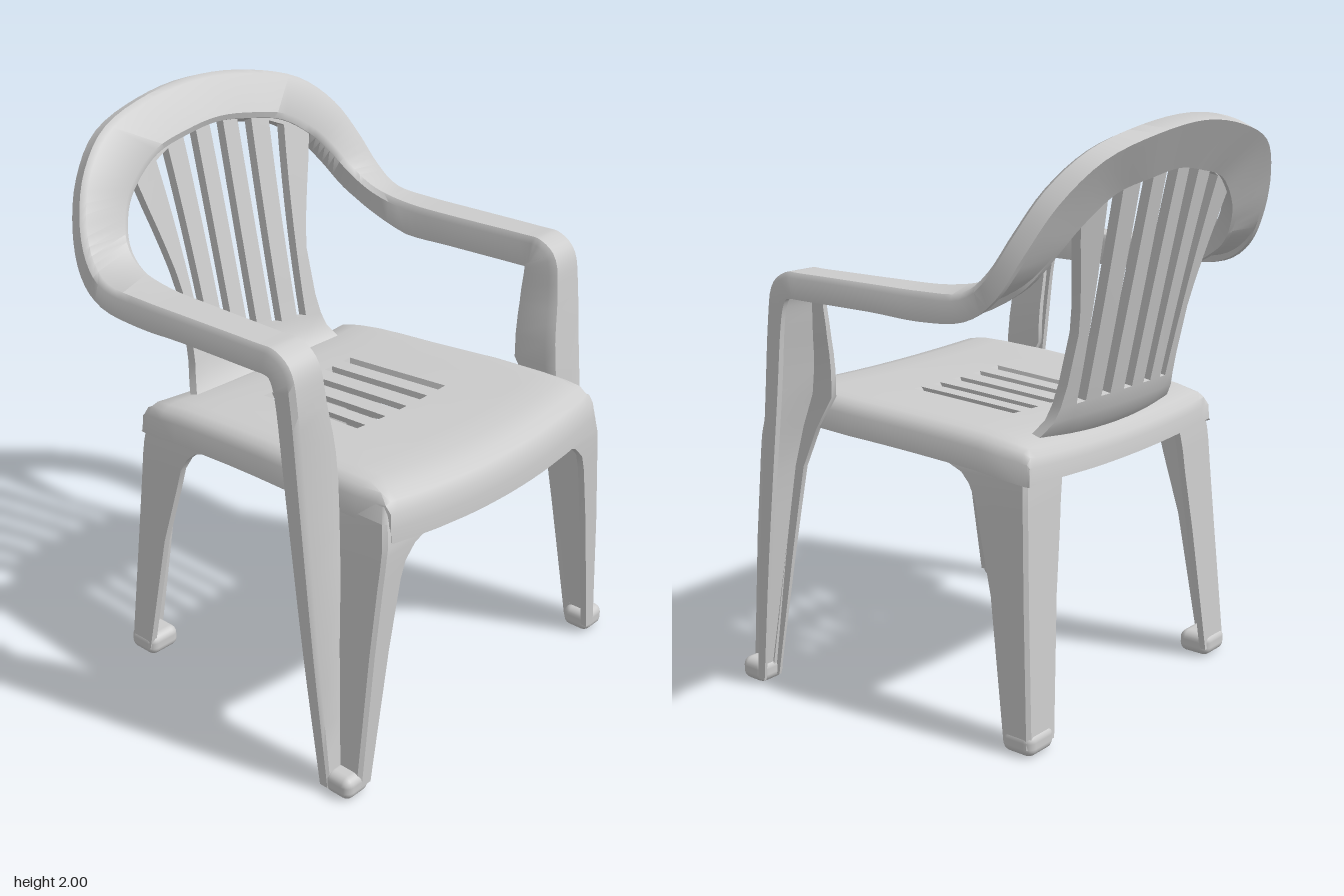
import * as THREE from 'three';
import { toCreasedNormals } from 'three/addons/utils/BufferGeometryUtils.js';
import { RoundedBoxGeometry } from 'three/addons/geometries/RoundedBoxGeometry.js';

const V = (x, y, z) => new THREE.Vector3(x, y, z);
const lerp = THREE.MathUtils.lerp;

// Piecewise-linear lookup in [key, value] pairs with rising keys
function ramp(t, pairs) {
  for (let i = 1; i < pairs.length; i++) {
    const [a, p] = pairs[i - 1], [b, q] = pairs[i];
    if (t <= b) return lerp(p, q, Math.max(0, (t - a) / (b - a)));
  }
  return pairs[pairs.length - 1][1];
}

// Turns a list of four-cornered faces into a softly shaded geometry
function fromQuads(quads) {
  const pos = [];
  for (const [a, b, c, d] of quads) for (const p of [a, b, c, a, c, d]) pos.push(p.x, p.y, p.z);
  const geo = new THREE.BufferGeometry();
  geo.setAttribute('position', new THREE.Float32BufferAttribute(pos, 3));
  geo.computeVertexNormals();
  return toCreasedNormals(geo, 0.75);
}

// Skins a series of closed cross-sections
function loft(rows) {
  const quads = [], n = rows[0].length;
  for (let r = 0; r < rows.length - 1; r++) {
    for (let k = 0; k < n; k++) {
      const m = (k + 1) % n;
      quads.push([rows[r][k], rows[r][m], rows[r + 1][m], rows[r + 1][k]]);
    }
  }
  return fromQuads(quads);
}

// Thick curved sheet on a grid, with open cells walled round as slots
function slab(cols, rows, point, inner, isSlot) {
  const top = [], low = [], quads = [];
  for (let j = 0; j < rows; j++) {
    for (let i = 0; i < cols; i++) {
      const p = point(i, j);
      top.push(p);
      low.push(inner(p));
    }
  }
  const solid = (i, j) => i >= 0 && j >= 0 && i < cols - 1 && j < rows - 1 && !isSlot(i, j);
  for (let j = 0; j < rows - 1; j++) {
    for (let i = 0; i < cols - 1; i++) {
      if (!solid(i, j)) continue;
      const a = j * cols + i, c = [a, a + 1, a + cols + 1, a + cols];
      quads.push(c.map(k => top[k]), [c[3], c[2], c[1], c[0]].map(k => low[k]));
      [[0, -1], [1, 0], [0, 1], [-1, 0]].forEach(([dx, dy], e) => {
        const p = c[e], q = c[(e + 1) % 4];
        if (!solid(i + dx, j + dy)) quads.push([top[p], low[p], low[q], top[q]]);
      });
    }
  }
  return fromQuads(quads);
}

// One band running up the front posts, along the arms and over the crest
function frameGeometry() {
  const half = [ // inner edge, outer edge, flange direction
    [V(.64, .02, .60), V(.72, .02, .60), V(0, 0, -.04)],
    [V(.60, .5, .555), V(.73, .5, .555), V(0, 0, -.055)],
    [V(.55, 1.05, .502), V(.73, 1.05, .502), V(0, 0, -.07)],
    [V(.575, 1.3, .478), V(.73, 1.3, .478), V(0, 0, -.075)],
    [V(.585, 1.43, .455), V(.73, 1.43, .455), V(0, -.04, -.075)],
    [V(.587, 1.485, .39), V(.73, 1.485, .39), V(0, -.08, -.04)],
    [V(.59, 1.49, .30), V(.73, 1.49, .30), V(0, -.085, 0)],
    [V(.58, 1.49, 0), V(.73, 1.49, 0), V(0, -.085, 0)],
    [V(.575, 1.495, -.2), V(.73, 1.49, -.2), V(0, -.09, 0)],
    [V(.565, 1.525, -.35), V(.73, 1.50, -.36), V(0, -.08, -.02)],
    [V(.54, 1.585, -.44), V(.718, 1.57, -.45), V(0, -.075, -.04)],
    [V(.49, 1.67, -.495), V(.68, 1.69, -.515), V(0, -.065, -.05)],
    [V(.42, 1.74, -.525), V(.60, 1.82, -.57), V(0, -.05, -.06)],
    [V(.30, 1.81, -.55), V(.46, 1.925, -.62), V(0, -.035, -.07)],
    [V(.15, 1.84, -.565), V(.24, 1.985, -.65), V(0, -.03, -.077)],
    [V(0, 1.855, -.57), V(0, 2.007, -.66), V(0, -.025, -.08)],
  ];
  const flip = p => V(-p.x, p.y, p.z);
  const keys = [...half, ...half.slice(0, -1).reverse().map(k => k.map(flip))];
  const [inn, out, dir] = [0, 1, 2].map(c =>
    new THREE.CatmullRomCurve3(keys.map(k => k[c]), false, 'catmullrom', 0.5));
  const rows = [];
  for (let i = 0; i <= 120; i++) {
    const t = i / 120, a = inn.getPoint(t), b = out.getPoint(t), d = dir.getPoint(t);
    // The inner flange is deeper above the seat and under the arms
    const e = d.clone().add(V(0,
      ramp(a.z, [[-.4, 0], [-.2, -.025], [.36, -.025], [.46, 0]]),
      ramp(a.y, [[.85, 0], [1.05, -.095], [1.3, -.07], [1.43, -.045], [1.49, 0]])));
    // The hollow below the arms closes towards the crest
    const f = ramp(a.y, [[1.0, .45], [1.3, .6], [1.5, .7], [1.65, 1]]);
    const section = [[0, 1], [0, .2], [.1, 0], [.9, 0], [1, .2], [1, 1], [.88, 1], [.86, f], [.14, f], [.12, 1]];
    rows.push(section.map(([w, h]) => a.clone().lerp(b, w).addScaledVector(w > .5 ? d : e, h)));
  }
  return loft(rows);
}

// Seat with turned-down front lip and side aprons, and five slots
function seatGeometry() {
  const side = [ // x, drop
    [.02, 0], [.09, 0], [.13, 0], [.19, 0], [.23, 0], [.36, 0], [.46, 0], [.51, .005], [.54, .02], [.56, .05], [.568, .12]];
  const cols = [...side.map(([x, d]) => [-x, d]).reverse(), ...side];
  const rows = [ // z, drop
    [.735, .17], [.733, .12], [.725, .075], [.705, .04], [.67, .015], [.6, 0], [.5, 0], [.28, 0],
    [.14, 0], [0, 0], [-.16, 0], [-.27, 0], [-.35, 0], [-.425, .01], [-.45, .03], [-.46, .06], [-.465, .11]];
  const width = [[-.46, .515], [-.35, .535], [-.2, .54], [.05, .545], [.3, .56], [.6, .555], [.73, .535]];
  const point = (i, j) => {
    const [u, du] = cols[i], [z, dz] = rows[j];
    const x = u * ramp(z, width) / .56, s = (x / .55) ** 2;
    const sag = .028 * (1 - Math.min(1, s));
    const y = ramp(z, [[-.45, 1.0], [-.25, 1.025], [.2, 1.045], [.5, 1.055]]) - sag - Math.max(du, dz);
    return V(x, y, z - .04 * s * Math.max(0, z / .735));
  };
  const inner = p => V(p.x * .965, p.y - (p.y > .95 ? .022 : 0), p.z * .965);
  const isSlot = (i, j) => j >= 7 && j <= 9 && i % 2 === 0 && i >= 6 && i <= 14;
  return slab(cols.length, rows.length, point, inner, isSlot);
}

// Splayed back panel with five tapering slots
function backGeometry() {
  const low = [.023, .095, .14, .212, .252], high = [.033, .1, .165, .245, .312];
  const vs = [0, .03, .06, .11, .165, .25, .35, .45, .55, .65, .75, .85, .92, .975, 1];
  const edge = [[0, .39], [.06, .36], [.11, .335], [.2, .312], [.45, .31], [.55, .325], [.68, .352], [.85, .39], [1, .42]];
  const point = (i, j) => {
    const v = vs[j], s = i < 6 ? -1 : 1, k = i < 6 ? 5 - i : i - 6;
    const x = s * (k === 5 ? ramp(v, edge) : lerp(low[k], high[k], v * v));
    const y = .95 + v * (.925 - .75 * x * x);
    const fillet = .05 * Math.max(0, 1 - v / .13) ** 2;
    return V(x, y, -.42 - .215 * (y - 1.05) + (.35 - .2 * v) * x * x + fillet);
  };
  const inner = p => V(p.x, p.y - .005, p.z - .035);
  return slab(12, vs.length, point, inner, (i, j) => i % 2 === 1 && j >= 4 && j < 13);
}

// Angle-section leg: rows of y, inner x, outer x, face z, flange end z
function legGeometry(rows, side) {
  const dir = Math.sign(rows[0][3]), t = .025;
  const sections = rows.map(([y, xi, xo, zf, zb]) => [
    [xi, zf], [xo - .012, zf], [xo, zf - dir * .012], [xo, zb],
    [xo - t, zb], [xo - t, zf - dir * t], [xi, zf - dir * t],
  ].map(([x, z]) => V(side * x, y, z)));
  return loft(side * dir < 0 ? sections.reverse() : sections);
}

export function createModel() {
  const chair = new THREE.Group();
  chair.name = 'gardenArmchair';
  const plastic = new THREE.MeshStandardMaterial({ color: 0xcccccc, side: THREE.DoubleSide });
  plastic.name = 'pale grey plastic';
  const add = (name, geo) => {
    const mesh = new THREE.Mesh(geo, plastic);
    mesh.name = name;
    chair.add(mesh);
    return mesh;
  };

  add('armAndCrestFrame', frameGeometry());
  add('seat', seatGeometry());
  add('backPanel', backGeometry());

  const front = [
    [.03, .61, .665, .68, .575], [.5, .54, .62, .69, .53], [.74, .495, .59, .695, .51], [.8, .475, .582, .697, .505],
    [.845, .43, .576, .697, .5], [.87, .36, .572, .697, .5], [.95, .36, .56, .685, .5], [1.0, .4, .545, .67, .5]];
  const rear = [
    [.03, .455, .585, -.515, -.41], [.5, .40, .555, -.48, -.335], [.72, .365, .54, -.465, -.275], [.8, .355, .535, -.46, -.255],
    [.85, .345, .53, -.456, -.225], [.88, .34, .525, -.452, -.19], [.91, .33, .52, -.45, -.1], [.96, .32, .50, -.435, -.1]];
  for (const [side, label] of [[1, 'Left'], [-1, 'Right']]) {
    add('frontLeg' + label, legGeometry(front, side));
    add('rearLeg' + label, legGeometry(rear, side));
    add('frontFoot' + label, new RoundedBoxGeometry(.112, .08, .11, 3, .03)).position.set(side * .664, .04, .625);
    add('rearFoot' + label, new RoundedBoxGeometry(.132, .08, .125, 3, .03)).position.set(side * .52, .04, -.458);
  }
  return chair;
}
